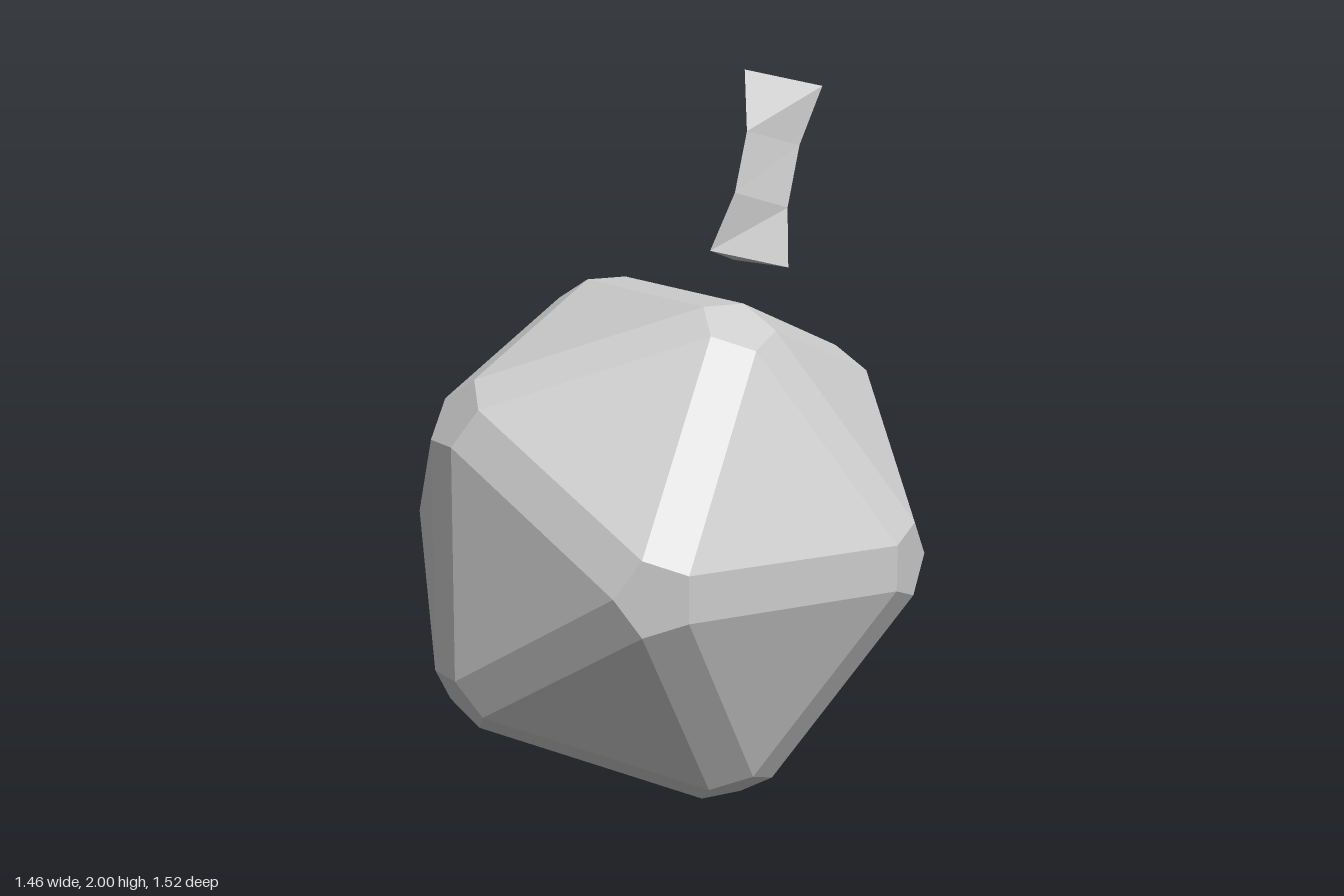
import * as THREE from 'three';
import { ConvexGeometry } from 'three/addons/geometries/ConvexGeometry.js';

const material = new THREE.MeshStandardMaterial({ color: 0xcccccc, flatShading: true });

// Icosahedron with bevelled edges: a small pentagon replaces each corner
function bevelledBody(distance, pentagonRadius) {
  const corners = [new THREE.Vector3(0, 0, 1), new THREE.Vector3(0, 0, -1)];
  const h = 1 / Math.sqrt(5);
  for (let i = 0; i < 5; i++) {
    const a = (i * 2 * Math.PI) / 5;
    const p = new THREE.Vector3(2 * h * Math.cos(a), 2 * h * Math.sin(a), h);
    corners.push(p, p.clone().negate());
  }
  const points = [];
  for (const v of corners) {
    const near = corners.filter((c) => c !== v && c.dot(v) > 0.3);
    for (const a of near) for (const b of near) {
      if (corners.indexOf(a) >= corners.indexOf(b) || a.dot(b) < 0.3) continue;
      // step across the pentagon towards the middle of face v-a-b
      const dir = a.clone().add(b);
      dir.addScaledVector(v, -dir.dot(v)).normalize();
      points.push(v.clone().multiplyScalar(distance).addScaledVector(dir, pentagonRadius));
    }
  }
  return new ConvexGeometry(points);
}

// Closed loft through three-cornered rings, listed bottom to top
function triangularLoft(rings) {
  const index = [0, 2, 1];
  for (let r = 0; r < rings.length - 1; r++) {
    for (let i = 0; i < 3; i++) {
      const a = r * 3 + i, b = r * 3 + ((i + 1) % 3);
      index.push(a, b, b + 3, a, b + 3, a + 3);
    }
  }
  const t = (rings.length - 1) * 3;
  index.push(t, t + 1, t + 2);
  const g = new THREE.BufferGeometry();
  g.setAttribute('position', new THREE.Float32BufferAttribute(rings.flat(2), 3));
  g.setIndex(index);
  const flat = g.toNonIndexed();
  flat.computeVertexNormals();
  return flat;
}

export function createModel() {
  const group = new THREE.Group();

  const body = new THREE.Mesh(bevelledBody(0.762, 0.108), material);
  body.name = 'body';
  body.position.y = 0.694;
  group.add(body);

  // Waisted, slightly bent stem floating above the body
  const stem = new THREE.Mesh(triangularLoft([
    [[0.133, 1.497, -0.043], [0.355, 1.445, -0.085], [0.2, 1.445, -0.258]],
    [[0.202, 1.66, -0.057], [0.352, 1.612, -0.115], [0.262, 1.612, -0.267]],
    [[0.235, 1.83, -0.087], [0.385, 1.787, -0.148], [0.295, 1.787, -0.297]],
    [[0.228, 2.0, -0.133], [0.449, 1.952, -0.177], [0.298, 1.952, -0.347]],
  ]), material);
  stem.name = 'stem';
  group.add(stem);

  return group;
}
